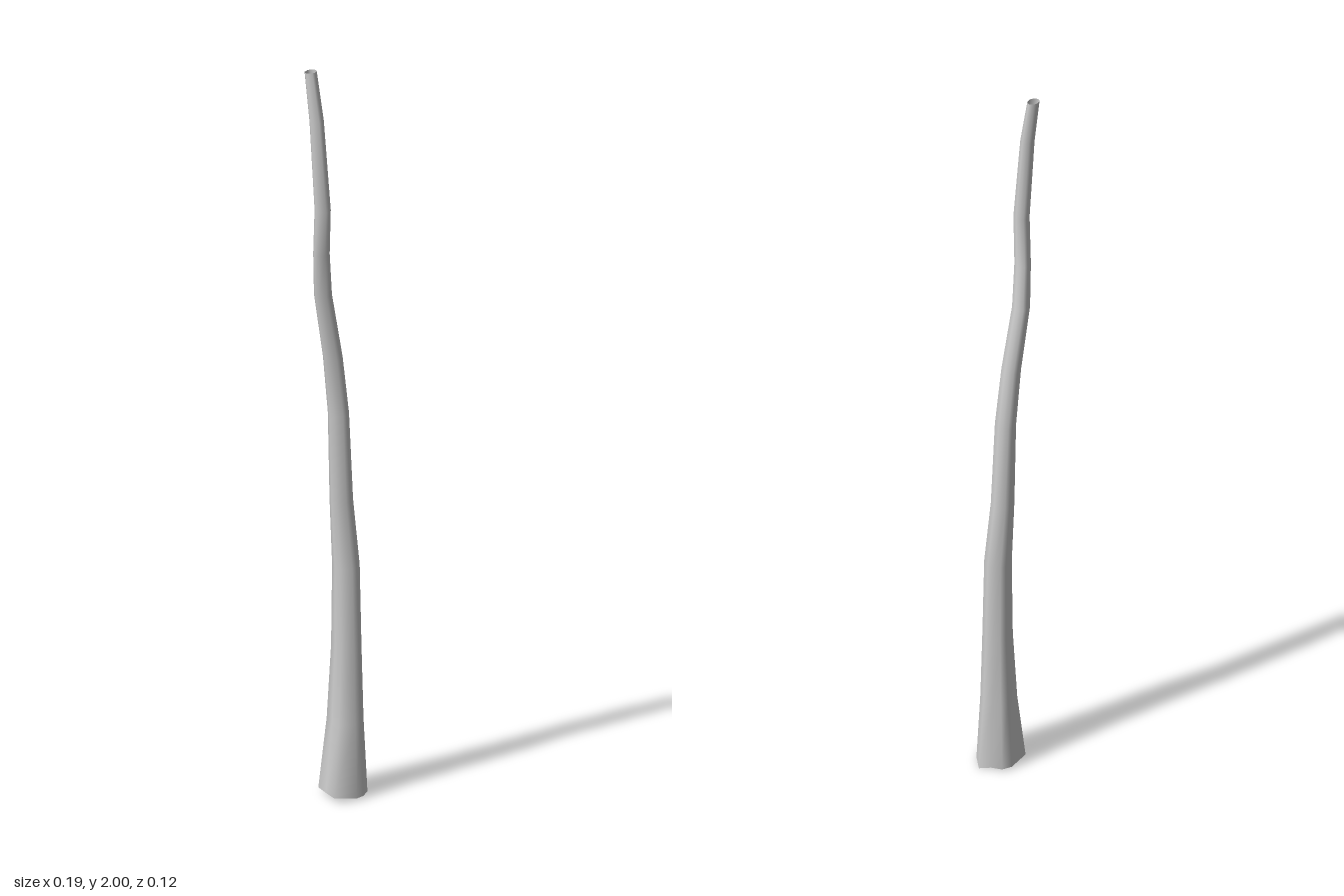
import * as THREE from 'three';

// Flared, uneven foot of the trunk as [x, z] corners
const FOOT = [
  [0.09, -0.018], [0.072, 0.025], [0.045, 0.05], [0.02, 0.06], [-0.035, 0.042],
  [-0.035, 0], [-0.033, -0.04], [0.02, -0.062], [0.045, -0.057], [0.064, -0.034],
];

// Cross-sections going up: height, x min, x max, z min, z max
const RINGS = [
  [0, -0.035, 0.09, -0.062, 0.06],
  [0.2, -0.014, 0.078, -0.054, 0.042],
  [0.4, -0.004, 0.071, -0.048, 0.033],
  [0.62, -0.003, 0.066, -0.045, 0.026],
  [0.8, -0.009, 0.05, -0.046, 0.014],
  [1.04, -0.016, 0.036, -0.042, 0.015],
  [1.2, -0.034, 0.015, -0.034, 0.017],
  [1.38, -0.064, -0.019, -0.026, 0.02],
  [1.5, -0.075, -0.034, -0.01, 0.033],
  [1.63, -0.084, -0.044, 0.012, 0.055],
  [1.87, -0.092, -0.055, 0.003, 0.037],
  [2, -0.096, -0.063, -0.012, 0.013],
];

// Open bent tube whose section changes from the foot outline to an ellipse
function trunkGeometry() {
  const [, fx0, fx1, fz0, fz1] = RINGS[0];
  const unit = FOOT.map(([x, z]) => [
    (2 * x - fx0 - fx1) / (fx1 - fx0),
    (2 * z - fz0 - fz1) / (fz1 - fz0),
  ]);
  const n = unit.length;
  const positions = [];
  const indices = [];
  RINGS.forEach(([y, x0, x1, z0, z1], r) => {
    const flare = Math.max(0, 1 - y / 0.9);
    unit.forEach(([u, v]) => {
      const len = Math.hypot(u, v);
      const a = THREE.MathUtils.lerp(u / len, u, flare);
      const b = THREE.MathUtils.lerp(v / len, v, flare);
      // The foot rim rises slightly on one side
      const rise = r === 0 ? 0.006 * (1 - u) : 0;
      positions.push((x0 + x1 + a * (x1 - x0)) / 2, y + rise, (z0 + z1 + b * (z1 - z0)) / 2);
    });
  });
  for (let r = 0; r < RINGS.length - 1; r++) {
    for (let i = 0; i < n; i++) {
      const a = r * n + i;
      const b = r * n + (i + 1) % n;
      indices.push(a, a + n, b, b, a + n, b + n);
    }
  }
  const geometry = new THREE.BufferGeometry();
  geometry.setAttribute('position', new THREE.Float32BufferAttribute(positions, 3));
  geometry.setIndex(indices);
  geometry.computeVertexNormals();
  return geometry;
}

export function createModel() {
  const group = new THREE.Group();
  group.name = 'bareTrunk';
  const material = new THREE.MeshStandardMaterial({ color: 0xcccccc, side: THREE.DoubleSide });
  const trunk = new THREE.Mesh(trunkGeometry(), material);
  trunk.name = 'trunk';
  group.add(trunk);
  return group;
}
